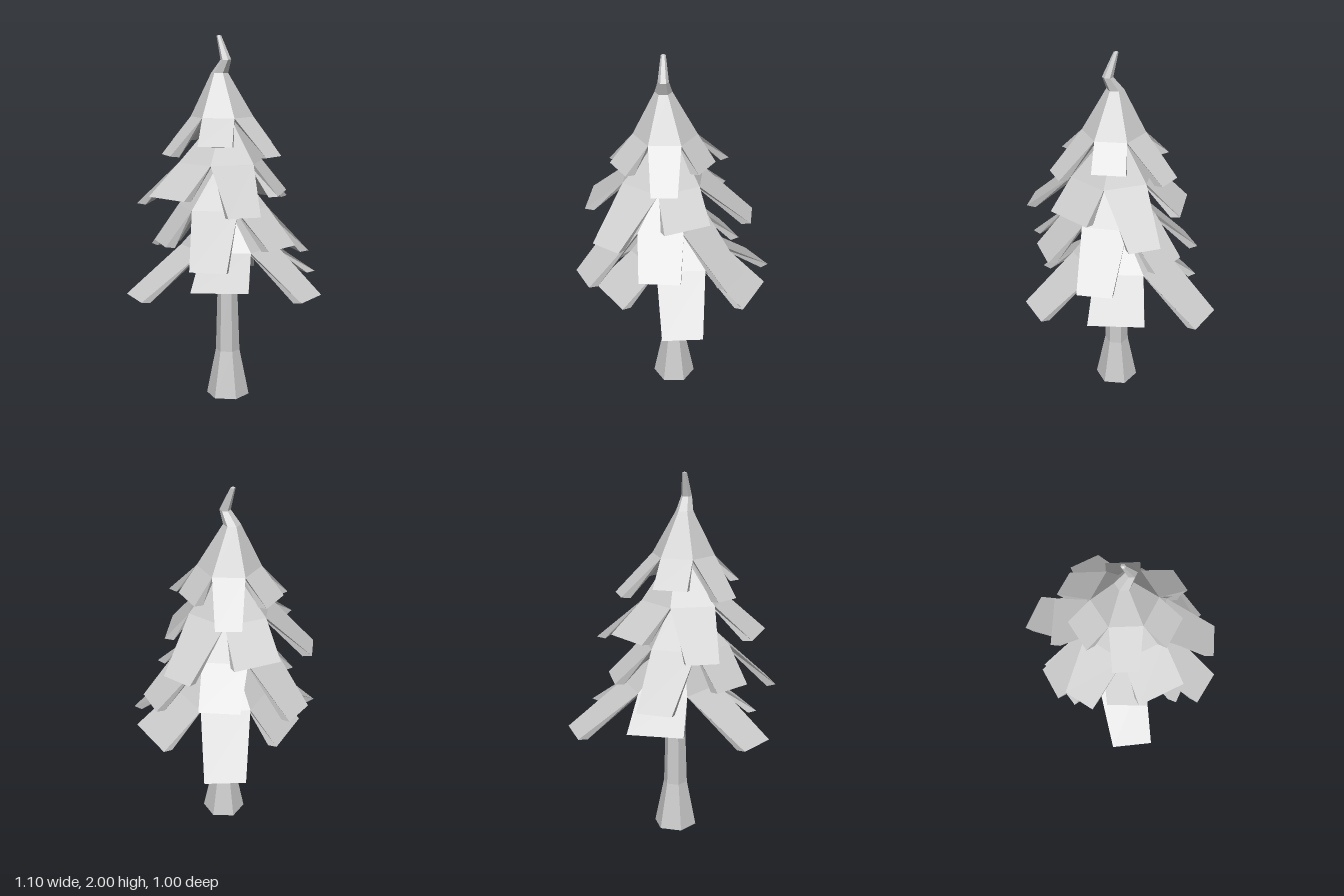
import * as THREE from 'three';

const rad = THREE.MathUtils.degToRad;
const foliage = new THREE.MeshStandardMaterial({ color: 0xcccccc, flatShading: true });
const bark = new THREE.MeshStandardMaterial({ color: 0xcccccc, flatShading: true, side: THREE.DoubleSide });

// Hexagonal ring of points; rot is the angle (from +x toward +z) of the first corner
function ring(cx, cz, y, r, rot = 0) {
  return Array.from({ length: 6 }, (_, k) => {
    const a = rad(rot + k * 60);
    return new THREE.Vector3(cx + r * Math.cos(a), y, cz + r * Math.sin(a));
  });
}

function quad(out, a, b, c, d) {
  for (const p of [a, b, c, a, c, d]) out.push(p.x, p.y, p.z);
}

// Skin a stack of rings, listed bottom to top for outward faces
function loft(out, rings) {
  for (let i = 0; i + 1 < rings.length; i++) {
    const lo = rings[i], up = rings[i + 1];
    for (let k = 0; k < 6; k++) {
      const n = (k + 1) % 6;
      quad(out, lo[n], lo[k], up[k], up[n]);
    }
  }
}

function makeMesh(name, positions, material) {
  const g = new THREE.BufferGeometry();
  g.setAttribute('position', new THREE.Float32BufferAttribute(positions, 3));
  g.computeVertexNormals();
  const m = new THREE.Mesh(g, material);
  m.name = name;
  return m;
}

// One drooping bough: a slab from ring edge k out to the middle of its end, cut nearly level
function bough(name, angle, [x, z], [half, y], rim, inner, k) {
  const n = (k + 1) % 6;
  const dir = new THREE.Vector3(Math.cos(rad(angle)), 0, Math.sin(rad(angle)));
  const side = new THREE.Vector3(-dir.z, 0, dir.x);
  const mid = new THREE.Vector3(x, y, z);
  const under = mid.clone().addScaledVector(dir, -0.05).setY(y - 0.006);
  const o0 = mid.clone().addScaledVector(side, -half);
  const o1 = mid.clone().addScaledVector(side, half);
  const l0 = under.clone().addScaledVector(side, -half);
  const l1 = under.clone().addScaledVector(side, half);
  const out = [];
  quad(out, o1, o0, rim[k], rim[n]);
  quad(out, l1, l0, o0, o1);
  quad(out, inner[n], inner[k], l0, l1);
  quad(out, rim[k], o0, l0, inner[k]);
  quad(out, inner[n], l1, o1, rim[n]);
  return makeMesh(name, out, foliage);
}

// Tiers from top to bottom. long / short: [half width, end height] of alternate boughs;
// ends: x, z of each bough's end, going round from the start angle
const tiers = [
  {
    cx: -0.05, cz: -0.03, y: 1.57, r: 0.17, start: 90, long: [0.068, 1.373], short: [0.09, 1.433],
    ends: [[-0.05, 0.31], [-0.294, 0.112], [-0.322, -0.195], [-0.047, -0.31], [0.257, -0.212], [0.17, 0.096]],
  },
  {
    cx: -0.06, cz: -0.03, y: 1.33, r: 0.235, start: 5.5, long: [0.085, 1.097], short: [0.13, 1.168],
    ends: [[0.417, 0], [0.07, 0.283], [-0.352, 0.345], [-0.468, -0.07], [-0.25, -0.44], [0.178, -0.34]],
  },
  {
    cx: -0.06, cz: -0.02, y: 1.09, r: 0.245, start: 33.5, long: [0.095, 0.826], short: [0.11, 0.902],
    ends: [[0.325, 0.245], [-0.075, 0.385], [-0.494, 0.222], [-0.36, -0.21], [-0.01, -0.495], [0.31, -0.19]],
  },
  {
    cx: 0.02, cz: -0.04, y: 0.855, r: 0.265, start: 86, long: [0.108, 0.622], short: [0.15, 0.688],
    ends: [[0.047, 0.492], [-0.36, 0.19], [-0.507, -0.27], [0, -0.44], [0.487, -0.335], [0.437, 0.17]],
  },
];

export function createModel() {
  const tree = new THREE.Group();
  tree.name = 'pineTree';

  // Flared trunk, open at the foot
  const trunk = [];
  loft(trunk, [
    ring(-0.004, -0.028, 0, 0.119),
    ring(-0.005, -0.028, 0.26, 0.067),
    ring(-0.005, -0.03, 0.7, 0.053),
    ring(-0.05, -0.03, 1.62, 0.035),
  ]);
  tree.add(makeMesh('trunk', trunk, bark));

  tiers.forEach((t, i) => {
    const tier = new THREE.Group();
    tier.name = `foliageTier${i + 1}`;
    const rot = t.start - 30;
    const rim = ring(t.cx, t.cz, t.y, t.r, rot);
    const inner = ring(t.cx, t.cz, t.y, t.r - 0.038, rot);
    const core = [];
    if (i === 0) {
      // Crown with a bent tip
      loft(core, [
        rim,
        ring(-0.058, -0.04, 1.8, 0.046, rot),
        ring(-0.058, 0.002, 1.87, 0.029, rot),
        ring(-0.058, -0.044, 1.995, 0.013, rot),
        ring(-0.058, -0.044, 2, 0, rot),
      ]);
    } else {
      // Shoulder running up to the trunk
      loft(core, [rim, ring(-0.03, -0.03, t.y + 0.22, 0.055, rot)]);
    }
    // Hollow underside
    loft(core, [ring(-0.03, -0.03, t.y + 0.15, 0.035, rot), inner]);
    tier.add(makeMesh('foliageCore', core, foliage));

    t.ends.forEach((end, k) => {
      const isLong = k % 2 === 0;
      tier.add(bough(isLong ? 'longBough' : 'shortBough', t.start + k * 60, end, isLong ? t.long : t.short, rim, inner, k));
    });
    tree.add(tier);
  });

  return tree;
}
